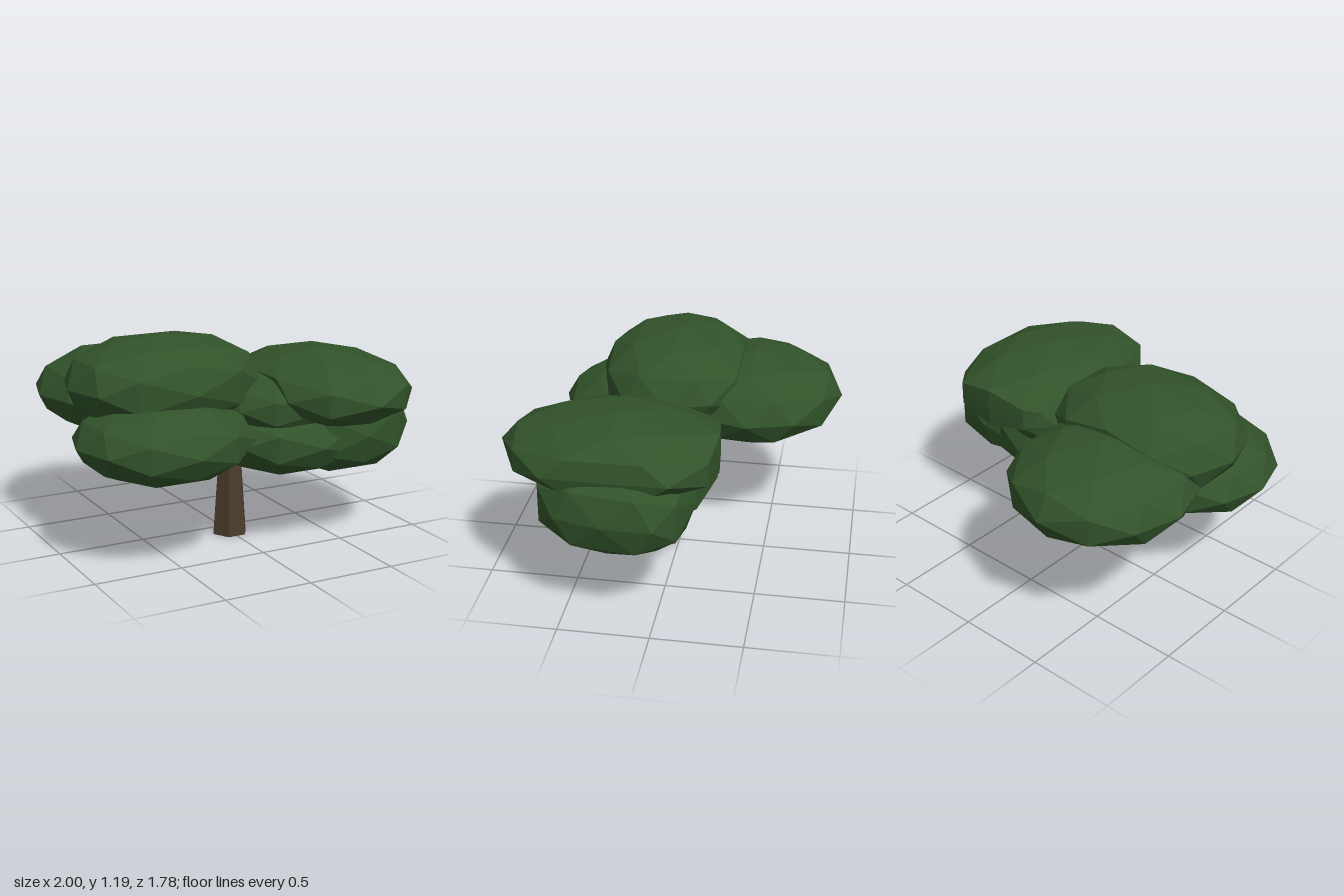
import * as THREE from 'three';

export function createModel() {
  const tree = new THREE.Group();
  tree.name = 'tree';

  const leaf = new THREE.MeshStandardMaterial({ color: 0x31532a, flatShading: true });
  leaf.name = 'leaf green';
  const bark = new THREE.MeshStandardMaterial({ color: 0x4b3b2c, flatShading: true });
  bark.name = 'bark brown';

  // Tapered six-sided trunk
  const trunkGeo = new THREE.CylinderGeometry(0.053, 0.105, 0.7, 6);
  trunkGeo.rotateY(Math.PI / 6);
  const trunk = new THREE.Mesh(trunkGeo, bark);
  trunk.name = 'trunk';
  trunk.position.set(0, 0.35, 0.105);
  tree.add(trunk);

  // Faceted foliage clump: power below 1 squares it off, skew slides x along z,
  // min and max trim its outer points in tree coordinates
  function clump(name, centre, radius, { power = 1, skew = 0, min = [-1, 0, -1], max = [1, 2, 1] } = {}) {
    const geo = new THREE.IcosahedronGeometry(1, 1);
    const p = geo.attributes.position;
    const low = new THREE.Vector3(...min);
    const high = new THREE.Vector3(...max);
    const offset = new THREE.Vector3(...centre);
    const size = new THREE.Vector3(...radius);
    const bulge = (a) => Math.sign(a) * Math.abs(a) ** power;
    const v = new THREE.Vector3();
    for (let i = 0; i < p.count; i++) {
      v.fromBufferAttribute(p, i);
      v.set(bulge(v.x), bulge(v.y), bulge(v.z)).multiply(size);
      v.x += skew * v.z;
      v.add(offset).clamp(low, high);
      p.setXYZ(i, v.x, v.y, v.z);
    }
    geo.computeVertexNormals();
    const mesh = new THREE.Mesh(geo, leaf);
    mesh.name = name;
    tree.add(mesh);
  }

  clump('backFoliage', [-0.43, 0.81, -0.38], [0.52, 0.25, 0.51]);
  clump('topFoliage', [-0.395, 0.93, 0.06], [0.555, 0.26, 0.445], { power: 0.92, min: [-1, 0, -0.315] });
  clump('frontFoliage', [-0.5, 0.665, 0.29], [0.5, 0.23, 0.475], { max: [-0.07, 2, 1] });
  clump('upperSideFoliage', [0.49, 0.855, 0.25], [0.48, 0.21, 0.64], { min: [0.1, 0, -0.3], max: [0.9, 2, 1] });
  clump('lowerSideFoliage', [0.6, 0.64, 0.25], [0.405, 0.27, 0.445], {
    power: 0.8, skew: -0.12, min: [0, 0.39, -1], max: [0.995, 2, 1],
  });
  clump('lowerMiddleFoliage', [0.28, 0.6, 0.21], [0.46, 0.22, 0.47], { power: 0.92 });
  clump('upperMiddleFoliage', [0.28, 0.79, 0.19], [0.45, 0.19, 0.445], { power: 0.92 });

  return tree;
}
